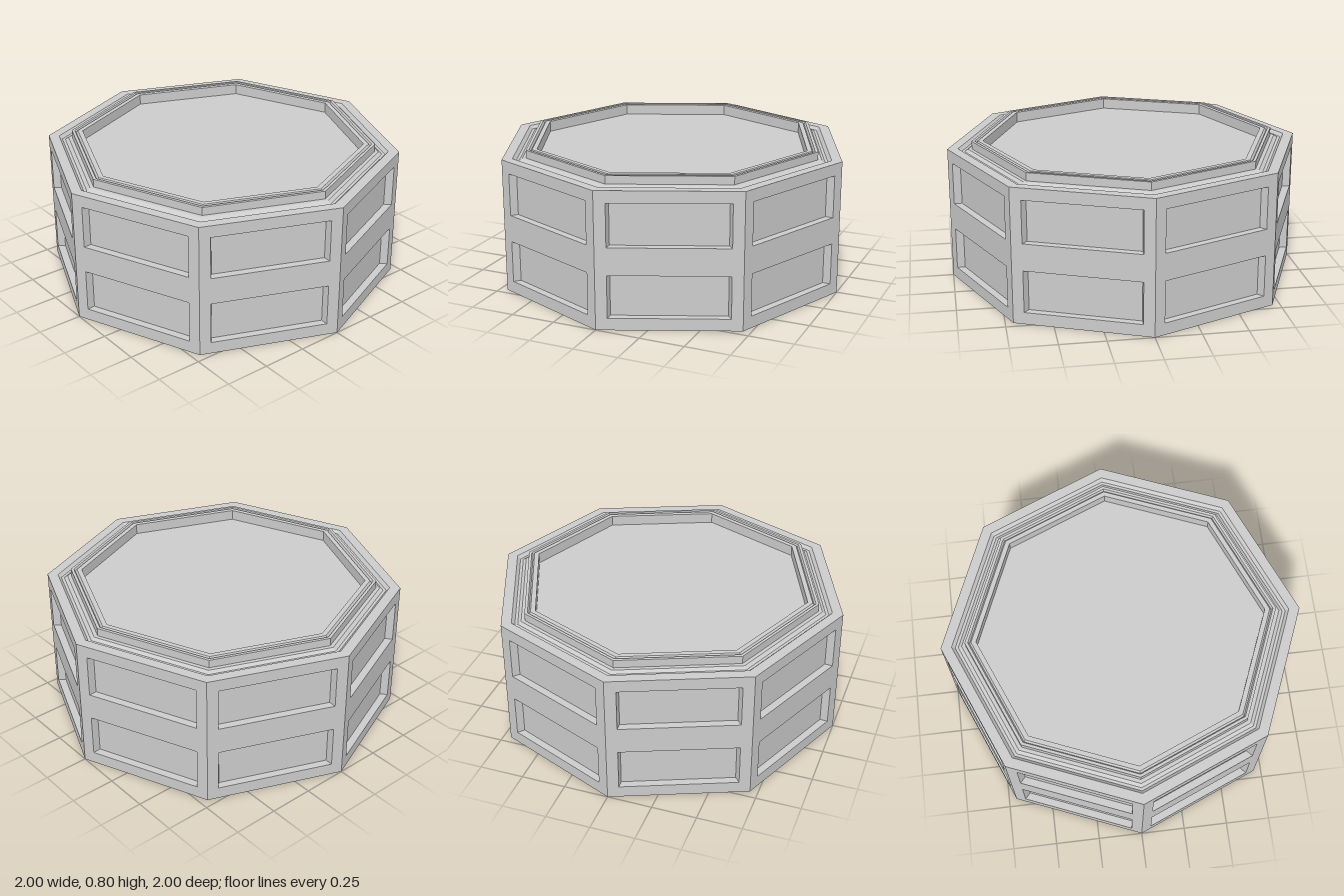
import * as THREE from 'three';

const SIDES = 8;
const BODY_HEIGHT = 0.76;
const INNER = 0.955; // recess panels are the outer wall scaled towards the axis

const material = new THREE.MeshStandardMaterial({ color: 0xcccccc, flatShading: true });

// Rectangle traced as a closed path
function rectangle(path, u0, u1, y0, y1) {
  path.moveTo(u0, y0);
  path.lineTo(u1, y0);
  path.lineTo(u1, y1);
  path.lineTo(u0, y1);
  path.closePath();
  return path;
}

// One side of the octagon: a frame with two windows, its thickness tapering radially
function frameGeometry(index) {
  const shape = rectangle(new THREE.Shape(), 0, 1, 0, BODY_HEIGHT);
  for (const [y0, y1] of [[0.067, 0.303], [0.455, 0.693]]) {
    shape.holes.push(rectangle(new THREE.Path(), 0.08, 0.92, y0, y1));
  }
  const geometry = new THREE.ExtrudeGeometry(shape, { depth: 1, bevelEnabled: false });
  const a = (index / SIDES) * Math.PI * 2;
  const b = ((index + 1) / SIDES) * Math.PI * 2;
  const p = geometry.attributes.position;
  for (let i = 0; i < p.count; i++) {
    const u = p.getX(i);
    const scale = THREE.MathUtils.lerp(INNER, 1, p.getZ(i));
    p.setXYZ(
      i,
      THREE.MathUtils.lerp(Math.sin(a), Math.sin(b), u) * scale,
      p.getY(i),
      THREE.MathUtils.lerp(Math.cos(a), Math.cos(b), u) * scale
    );
  }
  geometry.computeVertexNormals();
  return geometry;
}

// Octagonal solid from a radius/height profile, listed from the bottom up and over
function octagon(name, profile) {
  const points = profile.map(([r, y]) => new THREE.Vector2(r, y));
  const geometry = new THREE.LatheGeometry(points, SIDES).toNonIndexed();
  geometry.computeVertexNormals();
  const mesh = new THREE.Mesh(geometry, material);
  mesh.name = name;
  return mesh;
}

export function createModel() {
  const model = new THREE.Group();
  model.name = 'octagonalBase';

  // Outer walls with recessed windows
  const walls = new THREE.Group();
  walls.name = 'sideFrames';
  for (let i = 0; i < SIDES; i++) {
    const frame = new THREE.Mesh(frameGeometry(i), material);
    frame.name = 'sideFrame';
    walls.add(frame);
  }
  model.add(walls);

  // Underside, recess panels, top groove, raised lip and sunken floor
  model.add(octagon('core', [
    [0, 0], [INNER, 0], [INNER, BODY_HEIGHT],
    [0.94, 0.76], [0.922, 0.742], [0.905, 0.742], [0.885, 0.755], [0.863, 0.755],
    [0.863, 0.8], [0.846, 0.8], [0.838, 0.787], [0.828, 0.8], [0.8, 0.8],
    [0.8, 0.74], [0, 0.74]
  ]));

  return model;
}
